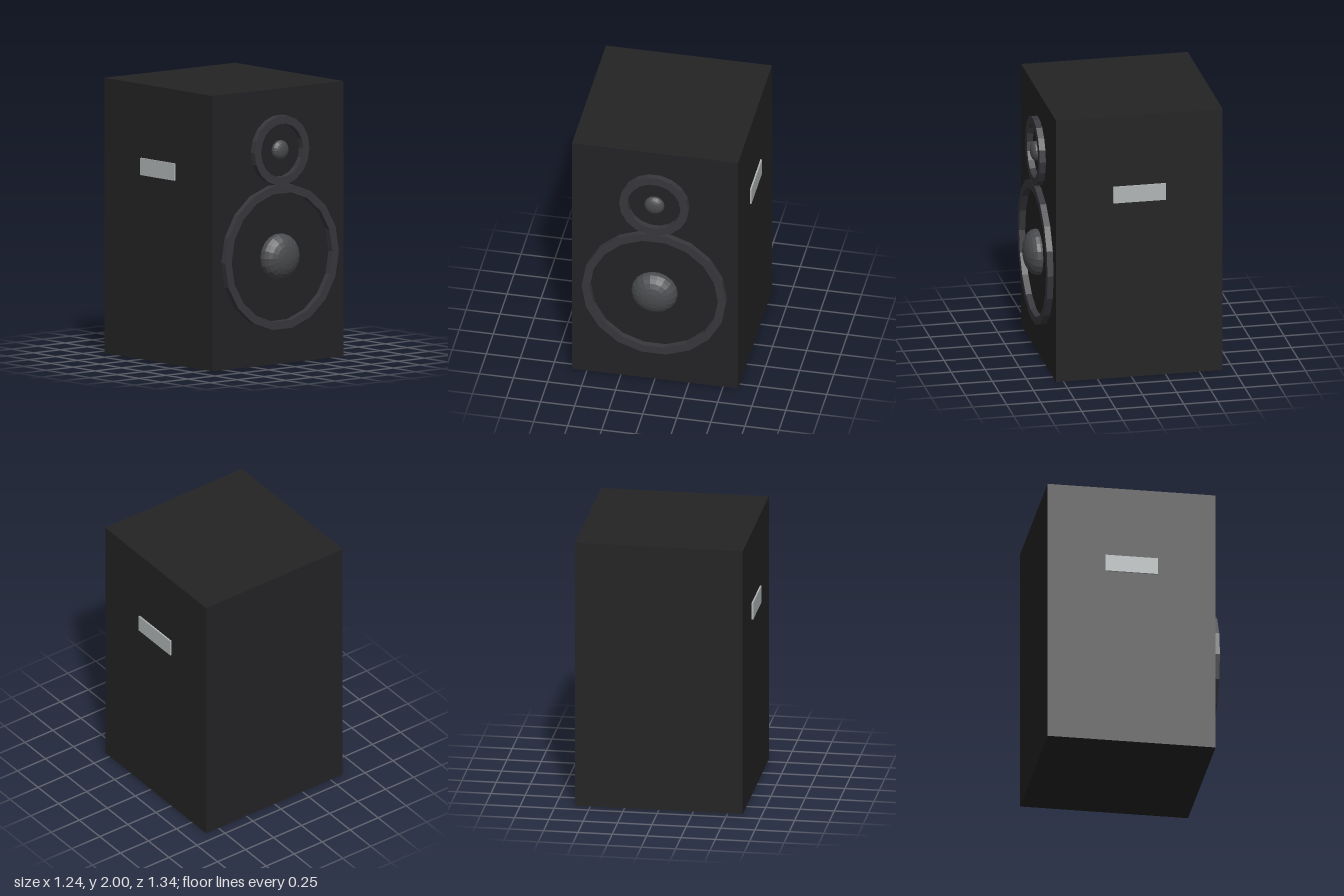
import * as THREE from 'three';

const mat = (color) => new THREE.MeshStandardMaterial({ color, flatShading: true });
const FACE_Z = 0.555;

export function createModel() {
  const group = new THREE.Group();
  const black = mat(0x232325), trim = mat(0x38373c), domeGrey = mat(0x4a4b4e), metal = mat(0xb0b4b4);

  const add = (name, geometry, material, x, y, z) => {
    const mesh = new THREE.Mesh(geometry, material);
    mesh.name = name;
    mesh.position.set(x, y, z);
    group.add(mesh);
    return mesh;
  };

  // Regular polygon outline with a corner on the x axis
  const polygon = (radius, Type) => new Type(Array.from({ length: 18 }, (_, i) => {
    const a = (i / 18) * Math.PI * 2;
    return new THREE.Vector2(radius * Math.cos(a), radius * Math.sin(a));
  }));

  // Cabinet
  add('cabinet', new THREE.BoxGeometry(1.22, 2, 1.225), black, 0, 1, -0.0575);

  // Each driver is a raised faceted ring with a flattened dome in the middle
  const addDriver = (name, y, outer, inner, domeRadius, domeZ, domeDepth) => {
    const shape = polygon(outer, THREE.Shape);
    shape.holes.push(polygon(inner, THREE.Path));
    const ring = new THREE.ExtrudeGeometry(shape, { depth: 0.047, bevelEnabled: false });
    add(name + 'Ring', ring, trim, 0, y, FACE_Z - 0.002);

    const dome = new THREE.SphereGeometry(1, 18, 12);
    dome.rotateX(Math.PI / 2);
    dome.scale(domeRadius, domeRadius, domeDepth);
    add(name + 'Dome', dome, domeGrey, 0, y, domeZ);
  };
  addDriver('woofer', 0.78, 0.53, 0.47, 0.17, 0.57, 0.1);
  addDriver('tweeter', 1.555, 0.255, 0.195, 0.073, 0.577, 0.04);

  // Side handle plates
  for (const side of [1, -1]) {
    const name = side > 0 ? 'leftHandle' : 'rightHandle';
    add(name, new THREE.BoxGeometry(0.03, 0.125, 0.385), metal, side * 0.607, 1.402, -0.058);
  }

  return group;
}
